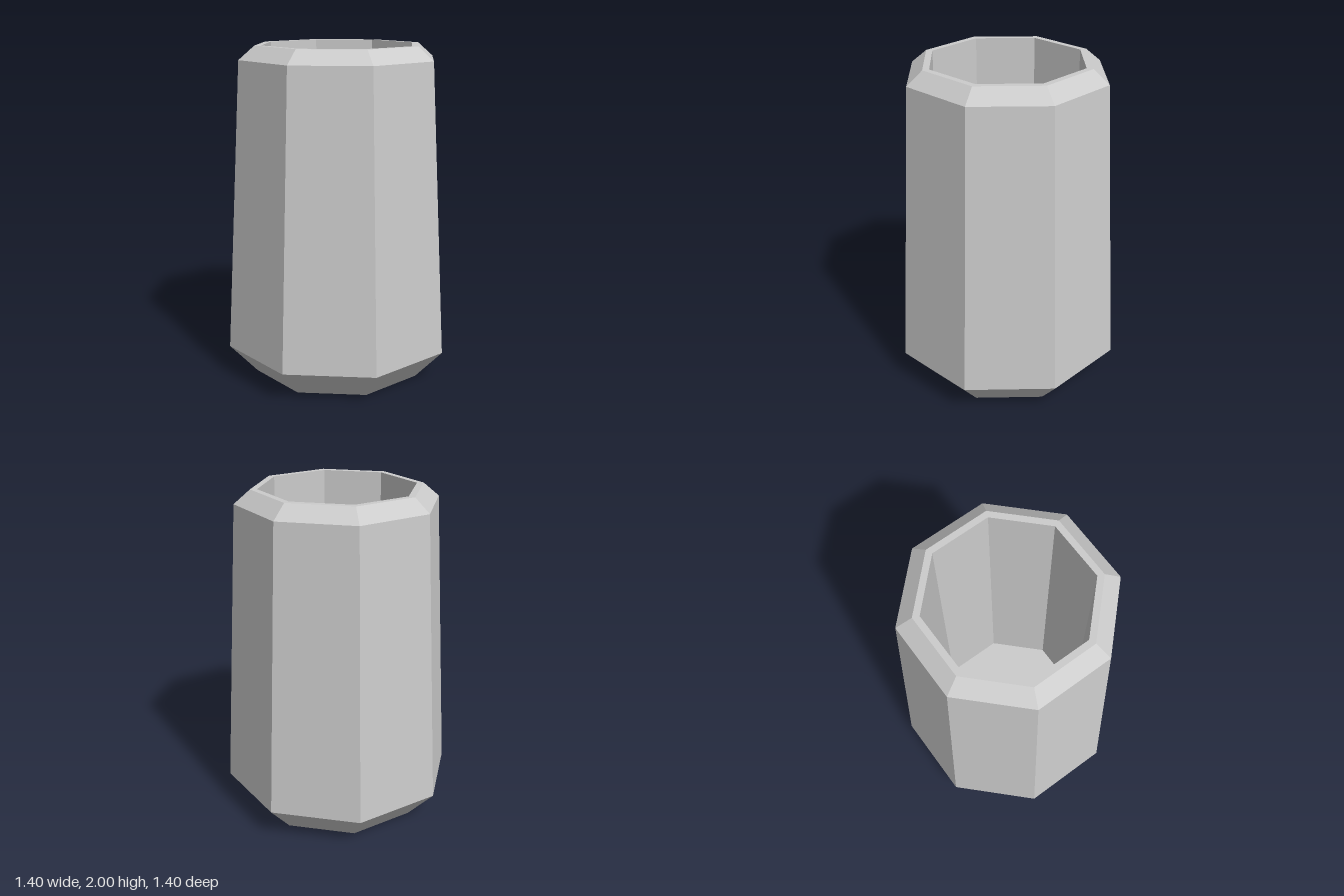
import * as THREE from 'three';

const SIDES = 8;

export function createModel() {
  const group = new THREE.Group();
  group.name = 'cup';
  const material = new THREE.MeshStandardMaterial({ color: 0xcccccc, flatShading: true });

  // Turns a profile of [radius, height] pairs into an eight-sided shell
  const addShell = (name, profile) => {
    const points = profile.map(([r, y]) => new THREE.Vector2(r, y));
    const mesh = new THREE.Mesh(new THREE.LatheGeometry(points, SIDES), material);
    mesh.name = name;
    group.add(mesh);
  };

  // Base, lower bevel, tapering wall and upper bevel
  addShell('outerBody', [[0, 0], [0.53, 0], [0.7, 0.185], [0.6, 1.92], [0.505, 2]]);
  // Flat lip around the opening
  addShell('rim', [[0.505, 2], [0.465, 2]]);
  // Straight inner wall and floor, facing inwards
  addShell('innerCavity', [[0.465, 2], [0.465, 0.18], [0, 0.18]]);

  return group;
}
